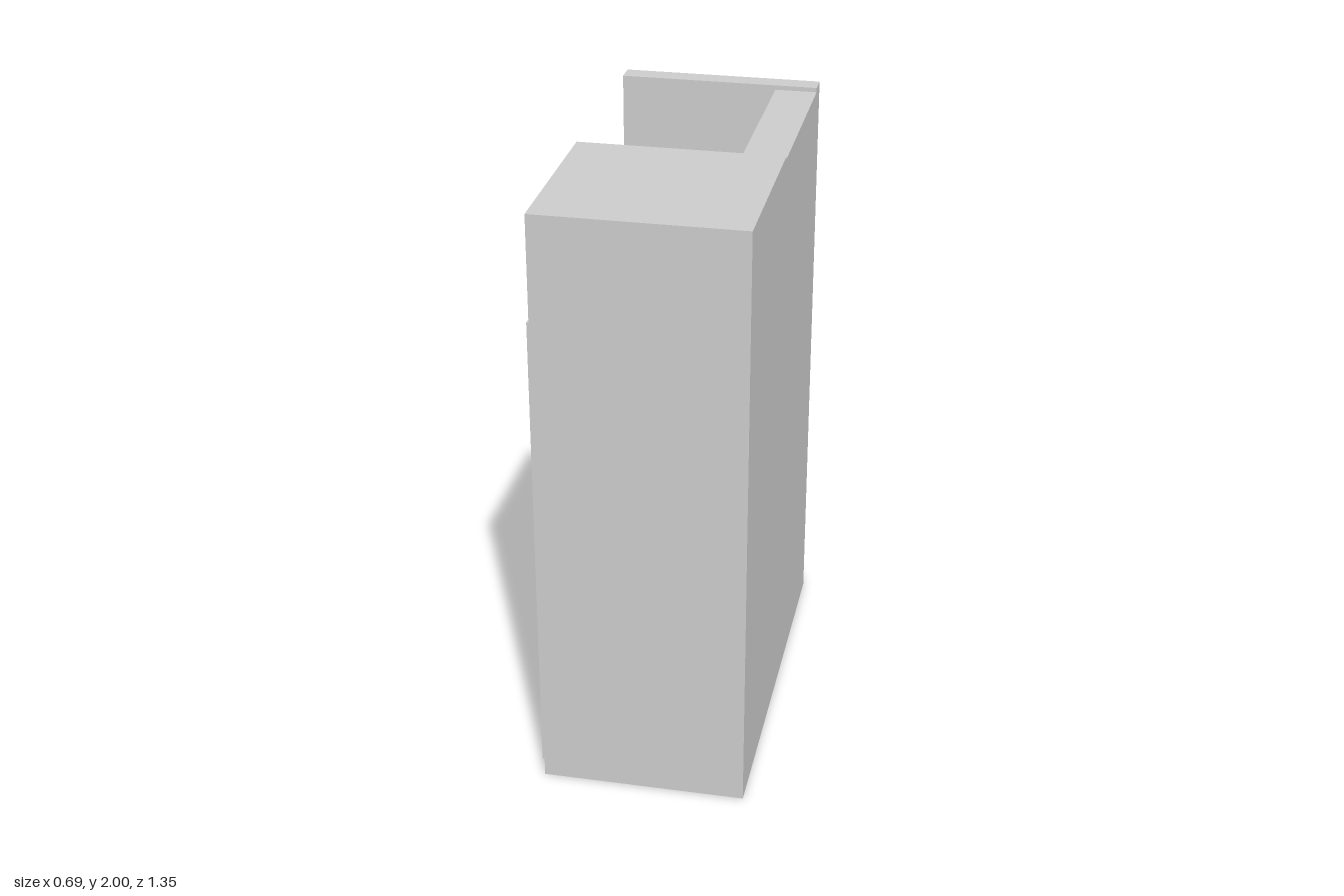
import * as THREE from 'three';

const material = new THREE.MeshStandardMaterial({ color: 0xcccccc });

// Box given by its limits on each axis
function box(name, [x0, x1], [y0, y1], [z0, z1]) {
  const mesh = new THREE.Mesh(new THREE.BoxGeometry(x1 - x0, y1 - y0, z1 - z0), material);
  mesh.position.set((x0 + x1) / 2, (y0 + y1) / 2, (z0 + z1) / 2);
  mesh.name = name;
  return mesh;
}

function trace(path, { z: [z0, z1], y: [y0, y1] }) {
  path.moveTo(z0, y0).lineTo(z1, y0).lineTo(z1, y1).lineTo(z0, y1).closePath();
  return path;
}

// Slab in the z-y plane with rectangular openings, spanning x0..x1
function piercedSlab(name, [x0, x1], outline, openings) {
  const shape = trace(new THREE.Shape(), outline);
  shape.holes = openings.map((o) => trace(new THREE.Path(), o));
  const geometry = new THREE.ExtrudeGeometry(shape, { depth: x1 - x0, bevelEnabled: false });
  geometry.rotateY(-Math.PI / 2);
  const mesh = new THREE.Mesh(geometry, material);
  mesh.position.x = x1;
  mesh.name = name;
  return mesh;
}

export function createModel() {
  const group = new THREE.Group();
  group.name = 'cabinetWithShelves';
  const face = -0.32, inner = 0.207, rear = 0.347;
  const bay = [-0.605, 0.053];

  // Tall end panel and thick wall behind the shelves
  group.add(box('endPanel', [face, rear], [0, 2], [-0.675, bay[0]]));
  group.add(box('backWall', [inner, rear], [0, 1.985], bay));

  // Open shelves
  for (const top of [0.543, 1.015, 1.537]) {
    group.add(box('shelf', [face, inner], [top - 0.093, top], bay));
  }

  // Closed cupboard with an open niche at the top
  group.add(piercedSlab('cupboard', [face, inner], { z: [bay[1], 0.675], y: [0, 1.995] },
    [{ z: [0.13, 0.605], y: [1.71, 1.945] }]));
  group.add(box('cupboardBack', [inner, rear], [0, 1.995], [bay[1], 0.675]));

  // Door: backing, frame and raised fields inside the recesses
  const door = new THREE.Group();
  door.name = 'door';
  const doorZ = [0.125, 0.602], doorY = [0.005, 1.615];
  const recesses = [
    { z: [0.203, 0.522], y: [0.055, 0.457] },
    { z: [0.203, 0.522], y: [0.536, 1.45] },
  ];
  door.add(box('doorBacking', [-0.332, face], doorY, doorZ));
  door.add(piercedSlab('doorFrame', [-0.348, -0.332], { z: doorZ, y: doorY }, recesses));
  for (const { z, y } of recesses) {
    const m = 0.03;
    door.add(box('raisedField', [-0.345, -0.332], [y[0] + m, y[1] - m], [z[0] + m, z[1] - m]));
  }
  group.add(door);
  return group;
}
